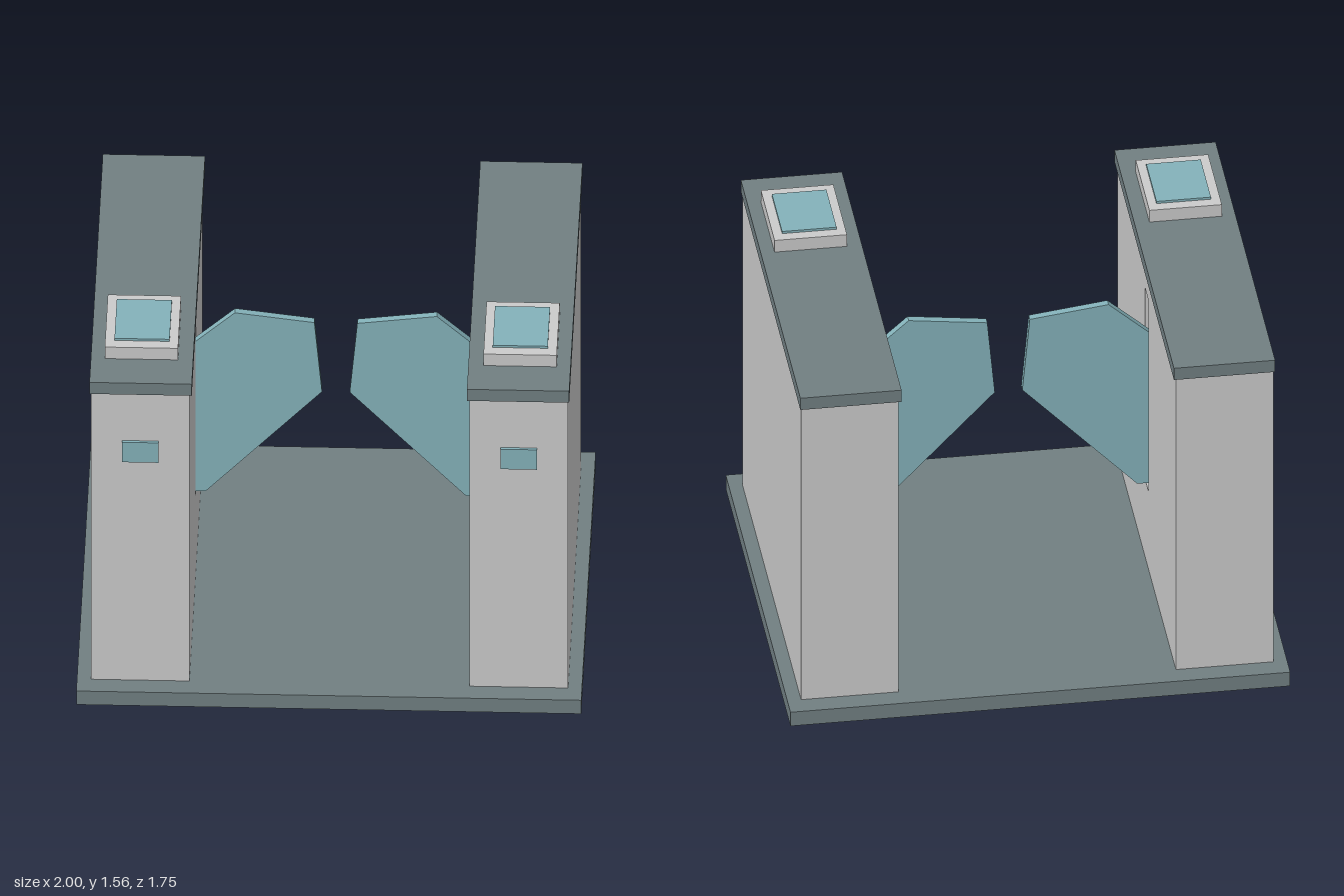
import * as THREE from 'three';

const grey = new THREE.MeshStandardMaterial({ color: 0xcccccc });
const dark = new THREE.MeshStandardMaterial({ color: 0x717f82 });
const teal = new THREE.MeshStandardMaterial({ color: 0x84b2ba });

// Box given by its extents on each axis
function box(name, material, [x0, x1], [y0, y1], [z0, z1]) {
  const mesh = new THREE.Mesh(new THREE.BoxGeometry(x1 - x0, y1 - y0, z1 - z0), material);
  mesh.position.set((x0 + x1) / 2, (y0 + y1) / 2, (z0 + z1) / 2);
  mesh.name = name;
  return mesh;
}

function rectangle(Type, x0, x1, y0, y1) {
  return new Type([[x0, y0], [x1, y0], [x1, y1], [x0, y1]].map(p => new THREE.Vector2(...p)));
}

// Inner half of a cabinet, with the slot the wing slides into
function slottedWall(side) {
  const depth = 0.2;
  const shape = rectangle(THREE.Shape, -0.79, 0.79, 0.065, 1.44);
  shape.holes.push(rectangle(THREE.Path, -0.045, 0.045, 0.43, 1.33));
  const geometry = new THREE.ExtrudeGeometry(shape, { depth, bevelEnabled: false });
  geometry.rotateY(Math.PI / 2);
  const mesh = new THREE.Mesh(geometry, grey);
  mesh.position.x = side > 0 ? 0.555 : -0.555 - depth;
  mesh.name = 'slottedWall';
  return mesh;
}

// Angular barrier panel, its root hidden inside the slot
function wing(side) {
  const outline = [[0.055, 0.935], [0.085, 1.265], [0.4, 1.305], [0.7, 1.035], [0.7, 0.45], [0.515, 0.45]];
  const shape = new THREE.Shape(outline.map(([x, y]) => new THREE.Vector2(side * x, y)));
  const geometry = new THREE.ExtrudeGeometry(shape, { depth: 0.032, bevelEnabled: false });
  geometry.translate(0, 0, -0.016);
  const mesh = new THREE.Mesh(geometry, teal);
  mesh.name = 'barrierWing';
  return mesh;
}

function gateSide(side) {
  const group = new THREE.Group();
  group.name = side > 0 ? 'leftCabinet' : 'rightCabinet';
  const span = (a, b) => (side > 0 ? [a, b] : [-b, -a]);
  group.add(
    slottedWall(side),
    box('cabinetBody', grey, span(0.755, 0.945), [0.065, 1.44], [-0.79, 0.79]),
    box('cabinetLid', dark, span(0.545, 0.95), [1.44, 1.495], [-0.805, 0.805]),
    box('cardReader', grey, span(0.605, 0.895), [1.495, 1.55], [0.265, 0.635]),
    box('readerScreen', teal, span(0.64, 0.858), [1.55, 1.56], [0.31, 0.587]),
    box('frontIndicator', teal, span(0.677, 0.822), [1.115, 1.21], [0.785, 0.803]),
    wing(side)
  );
  return group;
}

export function createModel() {
  const model = new THREE.Group();
  model.name = 'turnstileGate';
  model.add(box('basePlate', dark, [-1, 1], [0, 0.065], [-0.875, 0.875]));
  for (const side of [-1, 1]) model.add(gateSide(side));
  return model;
}
